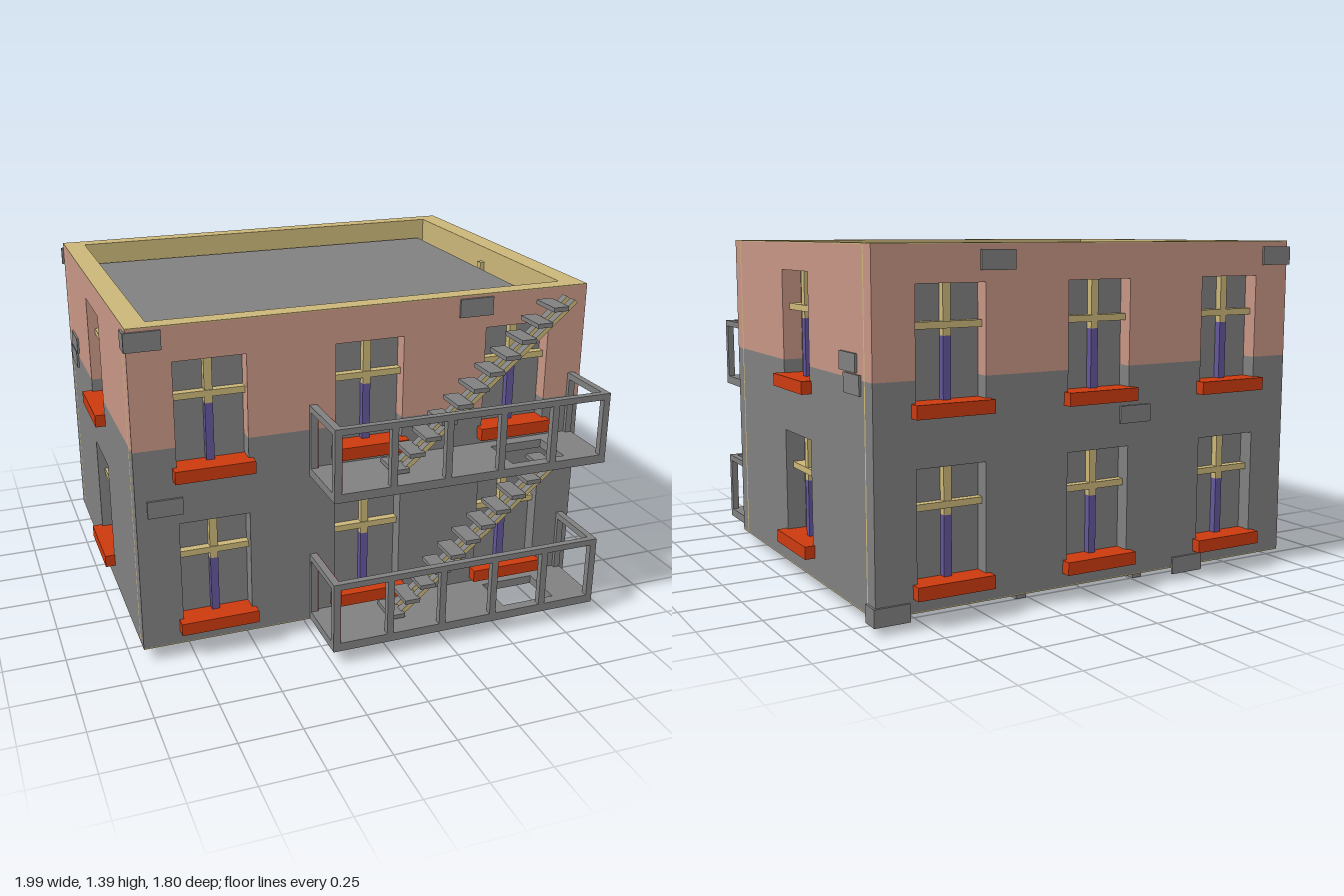
import * as THREE from 'three';

const mat = (name, color) => {
  const m = new THREE.MeshStandardMaterial({ color });
  m.name = name;
  return m;
};

export function createModel() {
  const grey = mat('concrete grey', 0x808080);
  const pink = mat('faded pink plaster', 0xc69585);
  const tan = mat('tan trim', 0xcbb679);
  const red = mat('orange red sill', 0xcc3a0f);
  const violet = mat('violet post', 0x63569a);
  const crimson = mat('dark red paint', 0xb02a2a);

  const model = new THREE.Group();

  const add = (parent, name, geometry, material) => {
    const m = new THREE.Mesh(geometry, material);
    m.name = name;
    parent.add(m);
    return m;
  };
  // Box given by its limits on each axis
  const box = (parent, name, material, x0, x1, y0, y1, z0, z1) => {
    const m = add(parent, name, new THREE.BoxGeometry(x1 - x0, y1 - y0, z1 - z0), material);
    m.position.set((x0 + x1) / 2, (y0 + y1) / 2, (z0 + z1) / 2);
    return m;
  };
  const poly = (pts, Type = THREE.Shape) => new Type(pts.map(([x, y]) => new THREE.Vector2(x, y)));
  const rect = (x0, x1, y0, y1) => [[x0, y0], [x1, y0], [x1, y1], [x0, y1]];
  const extrude = (shape, depth) => new THREE.ExtrudeGeometry(shape, { depth, bevelEnabled: false });
  // Horizontal slab from a plan rectangle with one rectangular hole
  const slab = (parent, name, material, outer, hole, y, thick) => {
    const flip = ([x0, x1, z0, z1]) => rect(x0, x1, -z1, -z0);
    const s = poly(flip(outer));
    s.holes.push(poly(flip(hole), THREE.Path));
    const m = add(parent, name, extrude(s, thick), material);
    m.rotation.x = -Math.PI / 2;
    m.position.y = y;
    return m;
  };

  const BASE = 0.06, SPLIT = 0.907, TOP = 1.385, FLOOR = 0.66;
  const HALF_WIN = 0.143, WIN_H = 0.475;

  // Windows: sill, cross bar, two-tone post and pane
  function windowUnit(parent, x, y, t) {
    const g = new THREE.Group();
    g.name = 'window';
    g.position.set(x, y, 0);
    parent.add(g);
    box(g, 'sill', red, -0.16, 0.16, 0, 0.052, -t - 0.04, 0.042);
    box(g, 'crossBar', tan, -0.235, 0.235, 0.312, 0.338, -t - 0.025, -t + 0.025);
    box(g, 'crossBarFace', tan, -HALF_WIN, HALF_WIN, 0.312, 0.338, -t + 0.02, -0.03);
    box(g, 'upperPost', tan, -0.016, 0.016, 0.285, WIN_H, -t - 0.02, -0.034);
    box(g, 'postHead', tan, -0.016, 0.016, WIN_H, WIN_H + 0.045, -t - 0.02, -t);
    box(g, 'lowerPost', violet, -0.016, 0.016, 0.05, 0.285, -t - 0.02, -0.034);
    box(g, 'pane', grey, -HALF_WIN, HALF_WIN, 0.02, WIN_H, -t + 0.002, -t + 0.01);
  }

  // Wall: grey lower and pink upper storey with openings, tan lining inside
  function wall(name, half, t, cols, sillY, plates) {
    const g = new THREE.Group();
    g.name = name;
    model.add(g);
    const low = [[-half, BASE], [half, BASE], [half, SPLIT]];
    [...cols].reverse().forEach(c => low.push([c + HALF_WIN, SPLIT], [c + HALF_WIN, sillY + FLOOR],
      [c - HALF_WIN, sillY + FLOOR], [c - HALF_WIN, SPLIT]));
    low.push([-half, SPLIT]);
    const lower = poly(low);
    cols.forEach(c => lower.holes.push(
      poly(rect(c - HALF_WIN, c + HALF_WIN, sillY, sillY + WIN_H), THREE.Path)));
    const up = [[-half, SPLIT]];
    const head = sillY + FLOOR + WIN_H;
    cols.forEach(c => up.push([c - HALF_WIN, SPLIT], [c - HALF_WIN, head],
      [c + HALF_WIN, head], [c + HALF_WIN, SPLIT]));
    up.push([half, SPLIT], [half, TOP], [-half, TOP]);
    const upper = poly(up);
    const skin = 0.008;
    for (const [part, shape, m] of [['lowerWall', lower, grey], ['upperWall', upper, pink]]) {
      add(g, part, extrude(shape, t - skin), m).position.z = -t + skin;
      add(g, part + 'Lining', extrude(shape, skin), tan).position.z = -t;
    }
    cols.forEach(c => [0, FLOOR].forEach(f => windowUnit(g, c, sillY + f, t)));
    // Loose patch plates on the outer face
    plates.forEach(([x0, x1, y0, y1]) => box(g, 'patchPlate', grey, x0, x1, y0, y1, 0, 0.009));
    return g;
  }

  const cols = [-0.645, 0, 0.645];
  const front = wall('frontWall', 0.955, 0.072, cols, 0.112,
    [[-0.965, -0.825, 1.3, 1.375], [0.38, 0.525, 1.3, 1.375], [-0.91, -0.77, 0.63, 0.7]]);
  front.position.z = 0.62;
  const back = wall('backWall', 0.955, 0.072, cols, 0.112,
    [[-0.525, -0.38, 1.29, 1.365], [0.82, 0.965, 1.29, 1.365], [0.1, 0.245, 0.68, 0.75],
      [-0.965, -0.82, 0.03, 0.1], [0.375, 0.525, 0.03, 0.1]]);
  back.position.z = -0.86;
  back.rotation.y = Math.PI;
  const right = wall('rightWall', 0.668, 0.09, [0], 0.14,
    [[0.463, 0.61, 0.93, 1.0], [0.5, 0.644, 0.85, 0.925], [0.67, 0.745, 0.03, 0.1]]);
  right.position.set(0.955, 0, -0.12);
  right.rotation.y = Math.PI / 2;
  const left = wall('leftWall', 0.668, 0.09, [0], 0.14,
    [[-0.61, -0.463, 0.93, 1.0], [-0.644, -0.5, 0.85, 0.925], [0.67, 0.745, 1.3, 1.37]]);
  left.position.set(-0.955, 0, -0.12);
  left.rotation.y = -Math.PI / 2;

  // Tan rims on the top and underside of the walls
  const outer = [-0.955, 0.955, -0.86, 0.62], inner = [-0.865, 0.865, -0.788, 0.548];
  slab(model, 'parapetRim', tan, outer, inner, TOP, 0.004);
  slab(model, 'baseRim', tan, outer, inner, BASE - 0.004, 0.004);

  // Roof and inner partitions
  box(model, 'roof', grey, -0.828, 0.828, 1.26, 1.3, -0.765, 0.515);
  for (const s of [-1, 1]) {
    const long = box(model, 'longPartition', grey, 0.26, 0.305, 0, 1.26, -0.75, 0.525);
    long.position.x *= s;
    const cross = box(model, 'crossPartition', grey, 0.305, 0.828, 0, 1.26, -0.14, -0.085);
    cross.position.x *= s;
  }

  // Balconies with railings and open stairs
  function balcony(y, rise) {
    const g = new THREE.Group();
    g.name = 'balcony';
    g.position.y = y;
    model.add(g);
    const x0 = -0.252, x1 = 0.926, z0 = 0.62, z1 = 0.9, w = 0.028, h = 0.3;
    slab(g, 'balconyFloor', grey, [x0, x1, z0, z1], [0.525, 0.76, 0.67, 0.857], 0, 0.036);
    box(g, 'frontRail', grey, x0, x1, h - 0.026, h, z1 - w, z1);
    for (let i = 0; i < 6; i++) {
      const x = x0 + (x1 - x0 - w) * i / 5;
      box(g, 'railPost', grey, x, x + w, 0.036, h - 0.026, z1 - w, z1);
    }
    for (const x of [x0, x1 - w]) {
      box(g, 'sideRail', grey, x, x + w, h - 0.026, h, z0, z1 - w);
      box(g, 'wallPost', grey, x, x + w, 0.036, h - 0.026, z0, z0 + 0.016);
    }
    // Red paint on the inner side of the left end railing
    const xi = x0 + w;
    box(g, 'railPaint', crimson, xi, xi + 0.003, h - 0.026, h - 0.001, z0, z1 - w);
    box(g, 'postPaint', crimson, xi, xi + 0.003, 0.036, h - 0.026, z0, z0 + 0.016);
    box(g, 'postPaint', crimson, xi, xi + 0.003, 0.036, h - 0.026, z1 - w, z1 - 0.001);

    // Stairs: grey stringers with tan sides, and eleven treads
    const bottom = 0.036, top = bottom + rise;
    const stringer = poly([[0.06, bottom], [0.09, bottom], [0.808, top - 0.012], [0.795, top]]);
    for (const z of [0.699, 0.755]) {
      add(g, 'stairStringer', extrude(stringer, 0.034), [tan, grey]).position.z = z;
    }
    for (let i = 0; i < 11; i++) {
      const x = 0.03 + 0.0662 * i, ty = 0.04 + (rise - 0.04) / 10 * i;
      box(g, 'stairTread', grey, x, x + 0.066, ty, ty + 0.018, 0.674, 0.81);
    }
  }
  balcony(0.06, 0.612);
  balcony(0.71, 0.632);

  return model;
}
